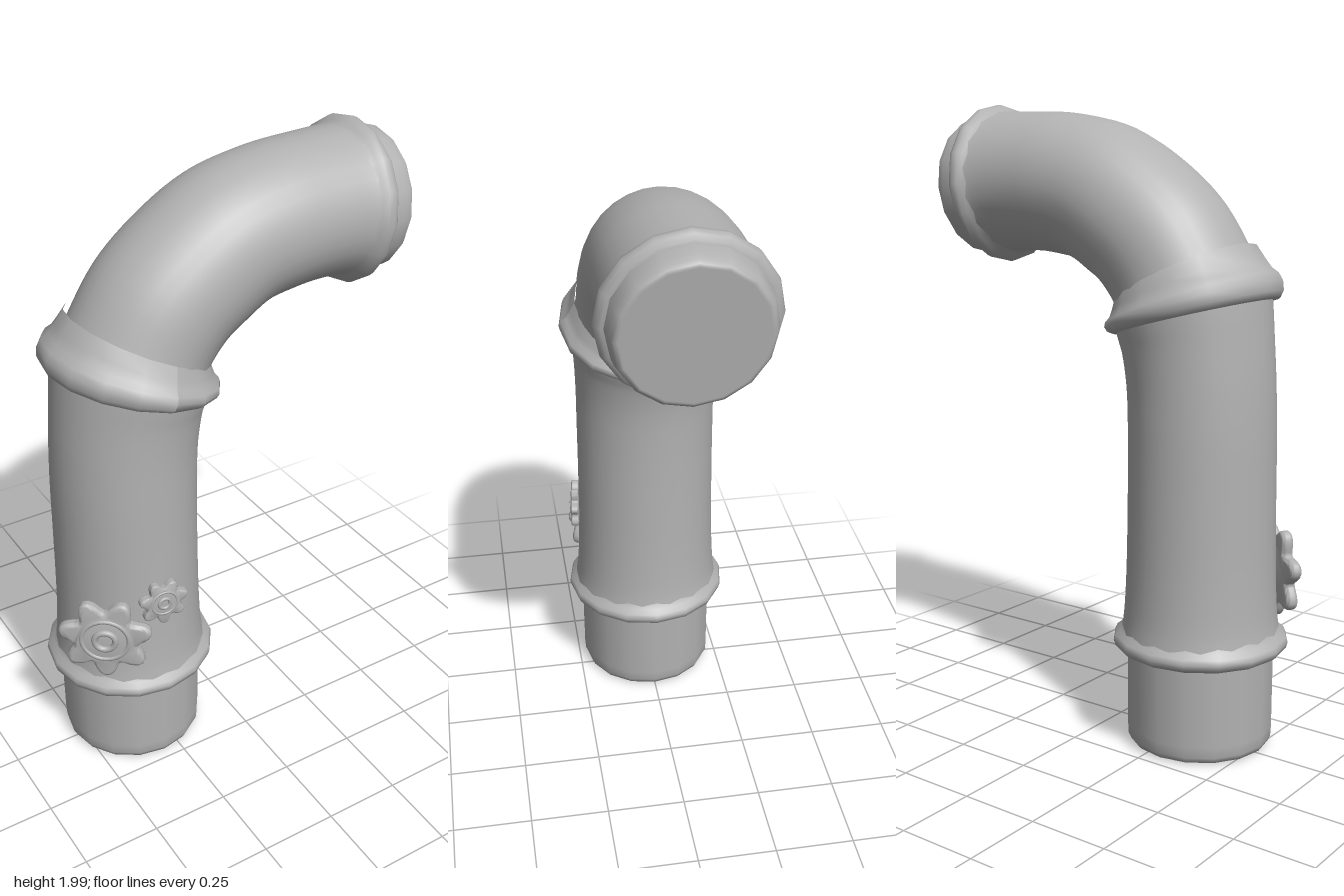
import * as THREE from 'three';
import { toCreasedNormals } from 'three/addons/utils/BufferGeometryUtils.js';

const SIDES = 16;
const rad = THREE.MathUtils.degToRad;

// Bent tube from sections [x, y, tilt from vertical in degrees, radius]
function bentTube(sections, rings) {
  const path = new THREE.CatmullRomCurve3(sections.map(([x, y, , r]) => new THREE.Vector3(x, y, r)));
  const tilts = new THREE.CatmullRomCurve3(sections.map((s) => new THREE.Vector3(rad(s[2]), 0, 0)));
  const sides = SIDES * 2;
  const geo = new THREE.CylinderGeometry(1, 1, 1, sides, rings, true);
  const pos = geo.attributes.position;
  for (let i = 0; i < pos.count; i++) {
    const t = THREE.MathUtils.clamp(pos.getY(i) + 0.5, 0, 1);
    const p = path.getPoint(t);
    const a = tilts.getPoint(t).x;
    const across = pos.getX(i) * p.z;
    pos.setXYZ(i, p.x + across * Math.cos(a), p.y - across * Math.sin(a), pos.getZ(i) * p.z * 1.02);
  }
  geo.computeVertexNormals();
  // Match normals across the seam
  const n = geo.attributes.normal;
  for (let j = 0; j <= rings; j++) {
    const a = j * (sides + 1), b = a + sides;
    const v = new THREE.Vector3().fromBufferAttribute(n, a)
      .add(new THREE.Vector3().fromBufferAttribute(n, b)).normalize();
    n.setXYZ(a, v.x, v.y, v.z);
    n.setXYZ(b, v.x, v.y, v.z);
  }
  return geo;
}

const lathe = (points) =>
  new THREE.LatheGeometry(points.map(([r, y]) => new THREE.Vector2(r, y)), SIDES);

// Rounded lip of outer radius r and half height h, flaring back into the pipe
const lip = (r, h) => lathe([
  [r - 0.055, -h], [r - 0.02, -h], [r - 0.005, -h * 0.6], [r, 0],
  [r - 0.006, h * 0.55], [r - 0.022, h], [r - 0.034, h * 1.7], [r - 0.05, h * 2.8],
]);

// Gear outline with rounded teeth
function gearShape(R, teeth, steps = 112) {
  const pts = [];
  for (let i = 0; i < steps; i++) {
    const a = (i / steps) * Math.PI * 2;
    const wave = Math.pow(0.5 + 0.5 * Math.cos(teeth * (a + Math.PI / 2)), 1.3);
    const r = R * (0.6 + 0.31 * wave);
    pts.push(new THREE.Vector2(r * Math.cos(a), r * Math.sin(a)));
  }
  return new THREE.Shape(pts);
}

export function createModel() {
  const model = new THREE.Group();
  const grey = new THREE.MeshStandardMaterial({ color: 0xb2b2b2 });
  grey.name = 'plain grey';

  function add(name, geo, x = 0, y = 0, tilt = 0, parent = model) {
    const mesh = new THREE.Mesh(geo, grey);
    mesh.name = name;
    mesh.position.set(x, y, 0);
    mesh.rotation.z = -rad(tilt);
    parent.add(mesh);
    return mesh;
  }

  // Socket at the foot
  add('baseSocket', lathe([
    [0, 0], [0.195, 0], [0.2, 0], [0.22, 0.008], [0.228, 0.025], [0.23, 0.06], [0.231, 0.345],
  ]), -0.31, 0.005);
  add('lowerCollar', lip(0.276, 0.028), -0.31, 0.343);

  // Upright pipe, leaning slightly at the top
  add('uprightPipe', bentTube([
    [-0.31, 0.36, 0, 0.247], [-0.31, 0.42, 0, 0.239], [-0.31, 0.55, 0, 0.232],
    [-0.31, 0.8, 0, 0.228], [-0.309, 1.0, 1, 0.227], [-0.303, 1.15, 4, 0.227],
    [-0.29, 1.27, 10, 0.232], [-0.28, 1.33, 15, 0.239], [-0.27, 1.385, 18, 0.245],
  ], 32));

  // Slanted collar, thicker on the outside of the bend
  const slanted = lip(0.281, 0.034);
  const sp = slanted.attributes.position;
  for (let i = 0; i < sp.count; i++) sp.setY(i, sp.getY(i) * (1 - sp.getX(i) * 1.5));
  slanted.computeVertexNormals();
  add('upperCollar', slanted, -0.272, 1.383, 18);

  // Elbow turning to the side
  add('elbow', bentTube([
    [-0.268, 1.385, 18, 0.238], [-0.247, 1.44, 22, 0.224], [-0.165, 1.56, 36, 0.223],
    [-0.07, 1.638, 51, 0.223], [0.06, 1.712, 68, 0.222], [0.2, 1.742, 82, 0.222],
    [0.33, 1.75, 92, 0.222], [0.43, 1.748, 95, 0.228], [0.475, 1.743, 96, 0.238],
  ], 40));

  // Collar and closed mouth at the end
  const endCollar = lathe([
    [0.215, -0.075], [0.229, -0.045], [0.242, -0.024], [0.253, -0.01], [0.256, 0.006],
    [0.25, 0.022], [0.238, 0.033], [0.222, 0.036],
  ]);
  add('endCollar', endCollar, 0.475, 1.743, 95.6);
  add('endCap', lathe([
    [0.23, 0], [0.229, 0.04], [0.225, 0.075], [0.219, 0.098], [0.211, 0.107],
    [0.204, 0.109], [0.2, 0.109], [0, 0.109],
  ]), 0.475, 1.743, 95.6);

  // Two meshing gears on the front of the upright pipe
  function gear(name, R, x, y, z, yaw) {
    const group = new THREE.Group();
    group.name = name;
    const k = R / 0.15;
    const bevel = 0.013 * k;
    const plate = new THREE.ExtrudeGeometry(gearShape(R, 7), {
      depth: 0.012, bevelEnabled: true, bevelThickness: bevel, bevelSize: bevel, bevelSegments: 4,
    });
    plate.translate(0, 0, -0.006);
    add('toothedPlate', toCreasedNormals(plate, rad(50)), 0, 0, 0, group);
    const face = 0.006 + bevel;
    const rim = add('raisedRing', new THREE.TorusGeometry(R * 0.5, R * 0.055, 8, 28), 0, 0, 0, group);
    rim.position.z = face - R * 0.025;
    const hub = add('hubRing', new THREE.TorusGeometry(R * 0.22, R * 0.07, 8, 20), 0, 0, 0, group);
    hub.position.z = face;
    group.position.set(x, y, z);
    group.rotation.y = rad(yaw);
    model.add(group);
  }
  gear('largeGear', 0.15, -0.483, 0.55, 0.172, -35);
  gear('smallGear', 0.082, -0.315, 0.675, 0.246, -8);

  return model;
}
